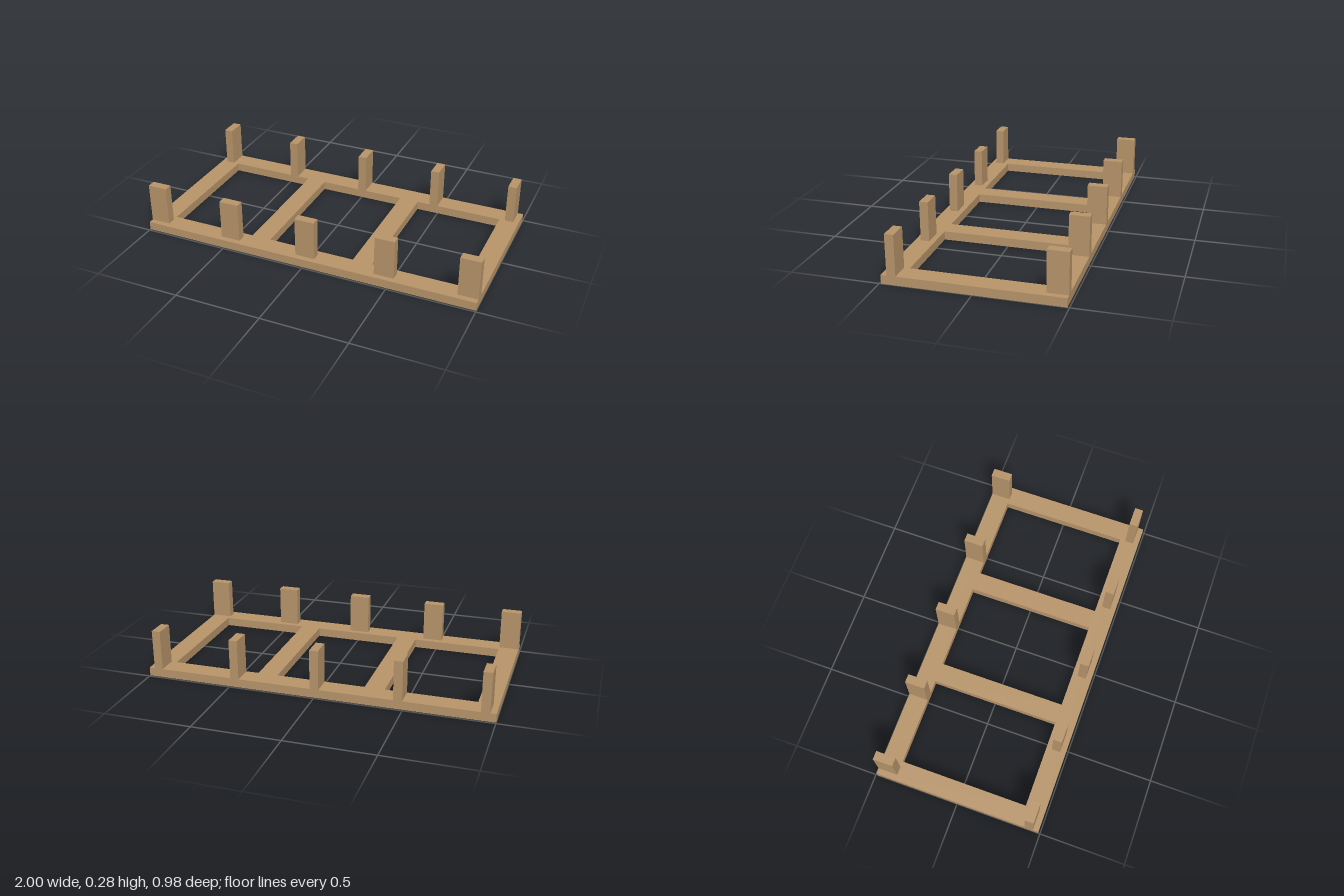
import * as THREE from 'three';

export function createModel() {
  const model = new THREE.Group();
  model.name = 'slottedFrame';
  const wood = new THREE.MeshStandardMaterial({ color: 0xb8956a });
  wood.name = 'wood';

  const halfX = 1, halfZ = 0.49, beam = 0.115;
  const frameHeight = 0.05, postHeight = 0.23;

  const rectangle = (path, x0, y0, x1, y1) => {
    path.moveTo(x0, y0);
    path.lineTo(x1, y0);
    path.lineTo(x1, y1);
    path.lineTo(x0, y1);
    path.closePath();
    return path;
  };

  // Flat base frame with three openings between two rails and four cross beams
  const outline = rectangle(new THREE.Shape(), -halfX, -halfZ, halfX, halfZ);
  const pitch = (2 * halfX - beam) / 3;
  for (let i = 0; i < 3; i++) {
    const x0 = -halfX + beam + i * pitch;
    outline.holes.push(
      rectangle(new THREE.Path(), x0, -halfZ + beam, x0 + pitch - beam, halfZ - beam));
  }
  const frameGeometry = new THREE.ExtrudeGeometry(outline, { depth: frameHeight, bevelEnabled: false });
  frameGeometry.rotateX(-Math.PI / 2);
  const frame = new THREE.Mesh(frameGeometry, wood);
  frame.name = 'baseFrame';
  model.add(frame);

  // Five upright posts per rail: broad side forward in front, turned edge-on at the back
  const addPost = (name, width, depth, x, z) => {
    const post = new THREE.Mesh(new THREE.BoxGeometry(width, postHeight, depth), wood);
    post.name = name;
    post.position.set(x, frameHeight + postHeight / 2, z);
    model.add(post);
  };
  const reach = halfX - beam / 2;
  for (let i = 0; i < 5; i++) {
    const x = -reach + (i * reach) / 2;
    addPost('frontPost' + (i + 1), beam, 0.05, x, halfZ - beam / 2);
    addPost('backPost' + (i + 1), 0.05, beam, x, -halfZ + beam / 2);
  }
  return model;
}
